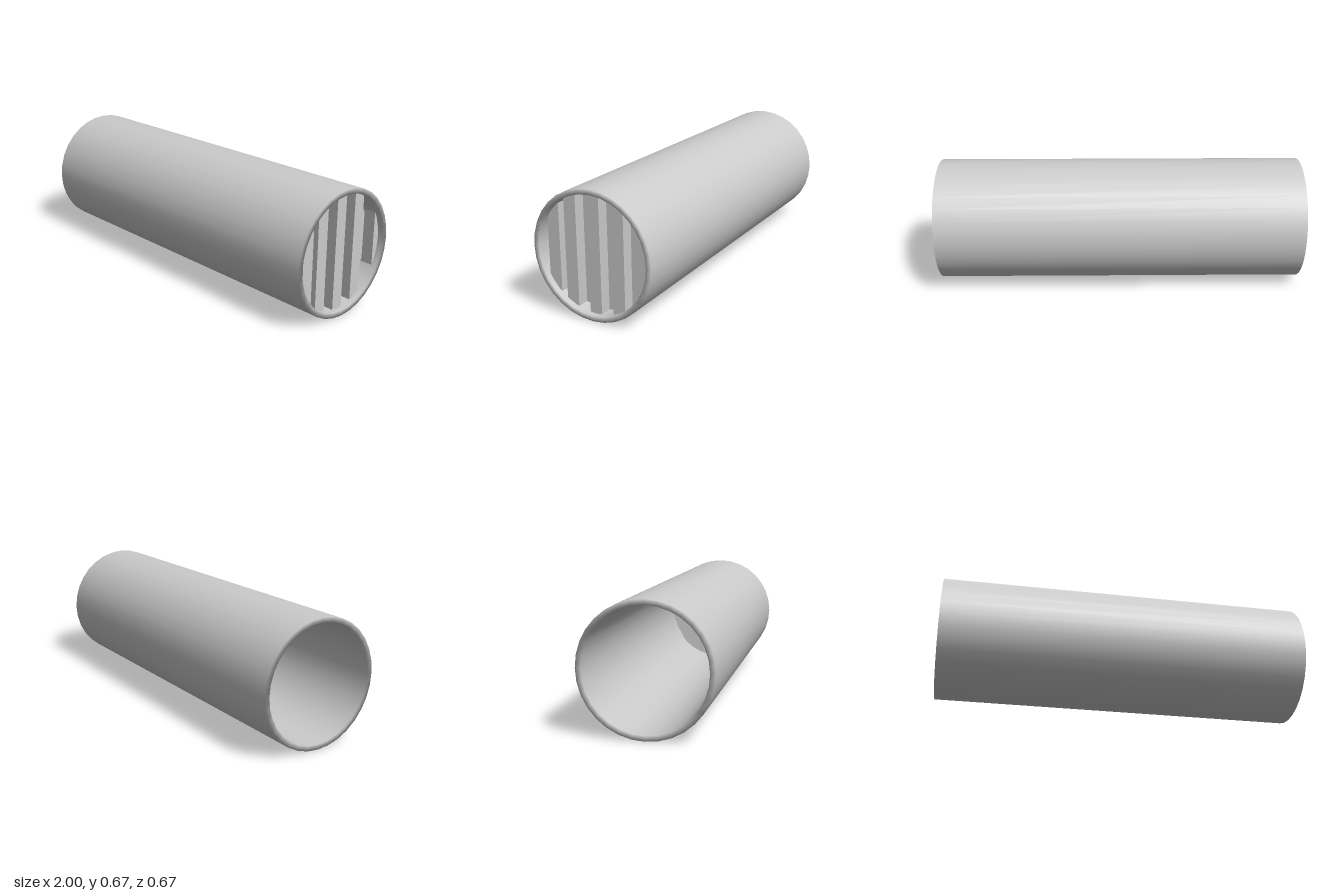
import * as THREE from 'three';

const OUTER = 0.333, INNER = 0.305, SIDES = 32;

// Slab of the bore between two z values, filled up to the round wall, extruded along x
function boreSlab(z1, z2, xBack, xFront) {
  const r = INNER + 0.003, n = 8, top = [], bottom = [];
  for (let i = 0; i <= n; i++) {
    const z = z1 + (z2 - z1) * i / n;
    const h = Math.sqrt(Math.max(0, r * r - z * z));
    top.push(new THREE.Vector2(-z, h));
    bottom.unshift(new THREE.Vector2(-z, -h));
  }
  const shape = new THREE.Shape([...top, ...bottom]);
  const geo = new THREE.ExtrudeGeometry(shape, { depth: xFront - xBack, bevelEnabled: false });
  geo.rotateY(Math.PI / 2);
  geo.translate(xBack, OUTER, 0);
  return geo;
}

export function createModel() {
  const model = new THREE.Group();
  const material = new THREE.MeshStandardMaterial({ color: 0xcccccc });
  const add = (name, geo) => {
    const mesh = new THREE.Mesh(geo, material);
    mesh.name = name;
    model.add(mesh);
  };

  // Thick-walled tube with softly shaded rims at both ends
  const profile = [[INNER, 0], [INNER, -1], [OUTER, -1], [OUTER, 1], [INNER, 1], [INNER, 0]]
    .map(([r, x]) => new THREE.Vector2(r, x));
  const tube = new THREE.LatheGeometry(profile, SIDES);
  tube.rotateZ(-Math.PI / 2);
  tube.translate(0, OUTER, 0);
  add('tube', tube);

  // Closing plate behind the slats
  add('backPlate', boreSlab(-INNER, INNER, 0.88, 0.905));

  // Upright slats set just inside the rim
  const slats = [[0.2, 0.267], [0.1, 0.167], [-0.033, 0.033], [-0.167, -0.1], [-0.305, -0.267]];
  slats.forEach(([z1, z2], i) => add(`slat${i + 1}`, boreSlab(z1, z2, 0.9, 0.97)));

  return model;
}
